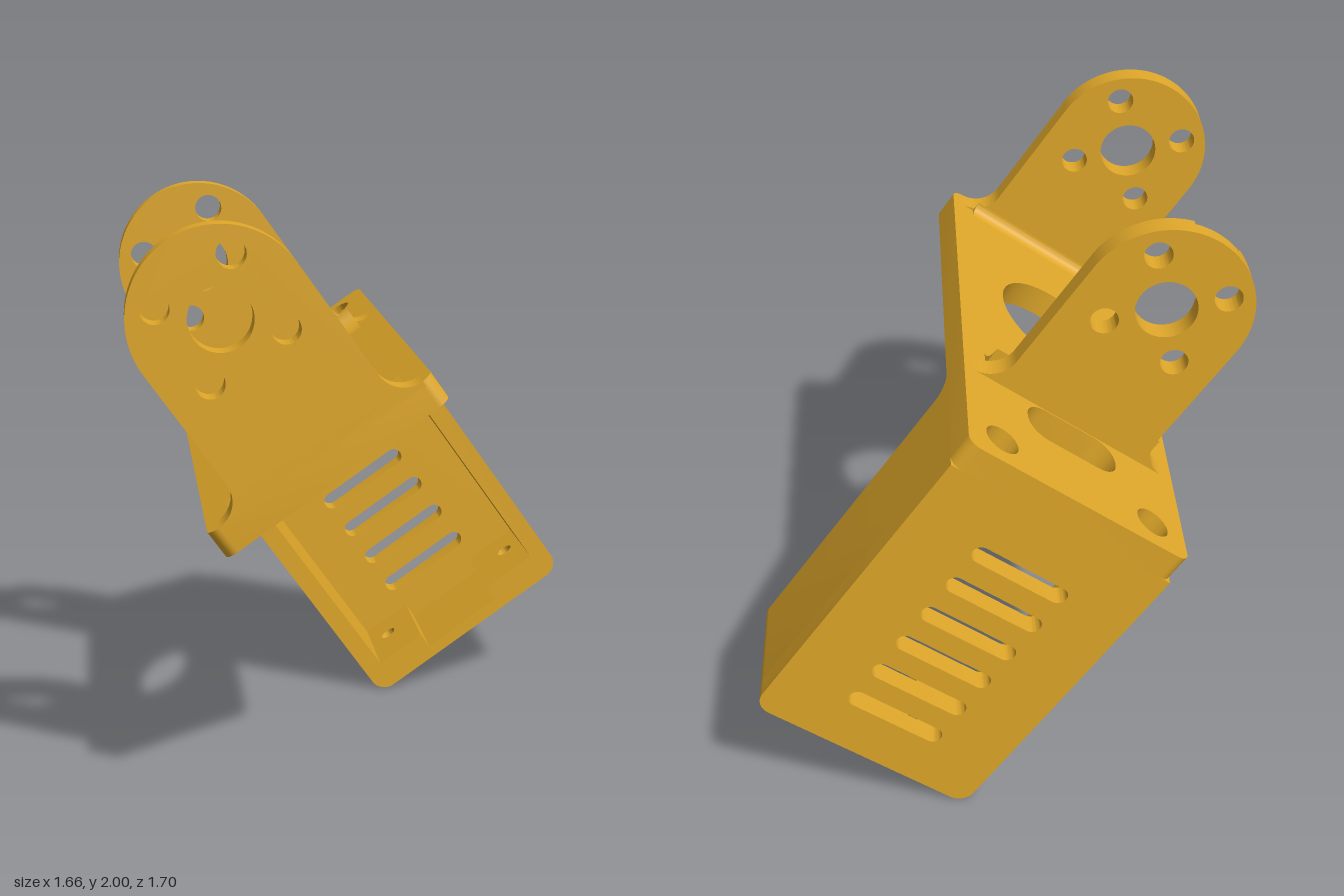
import * as THREE from 'three';
import { toCreasedNormals } from 'three/addons/utils/BufferGeometryUtils.js';

// Local frame: u across, v along the arms, z front; the whole bracket is tilted at the end.
const L = 0.106, R = 0.968, MID = 0.54;
const BACK = -0.85, FACE = -0.4, FRONT = 0.85;
const BOTTOM = -0.104, CAVITY_TOP = 0.92, SLAB = 1.08, TOP = 1.18;
const CAV_L = 0.175, CAV_R = 0.9;

const material = new THREE.MeshStandardMaterial({ color: 0xe0a82a });

function polygon(points) {
  return new THREE.Shape(points.map(([x, y]) => new THREE.Vector2(x, y)));
}

// Rectangle with its own radius at each corner: bottom left, bottom right, top right, top left
function rounded(x0, y0, x1, y1, [bl, br, tr, tl] = [0, 0, 0, 0]) {
  const points = [];
  const corners = [
    [x0 + bl, y0 + bl, bl], [x1 - br, y0 + br, br],
    [x1 - tr, y1 - tr, tr], [x0 + tl, y1 - tl, tl]];
  corners.forEach(([x, y, r], k) => {
    const steps = r > 0 ? 8 : 0;
    for (let i = 0; i <= steps; i++) {
      const a = Math.PI + (k + i / 8) * Math.PI / 2;
      points.push([x + r * Math.cos(a), y + r * Math.sin(a)]);
    }
  });
  return polygon(points);
}

function circle(x, y, r) {
  return new THREE.Path().absarc(x, y, r, 0, Math.PI * 2, false);
}

export function createModel() {
  const bracket = new THREE.Group();
  bracket.name = 'bracket';

  const add = (name, geometry) => {
    const mesh = new THREE.Mesh(toCreasedNormals(geometry, 0.5), material);
    mesh.name = name;
    bracket.add(mesh);
  };
  const extrude = (shape, depth) =>
    new THREE.ExtrudeGeometry(shape, { depth, bevelEnabled: false, curveSegments: 24 });
  // Shape in (u, v), extruded from z0 to z1
  const alongZ = (name, shape, z0, z1) => add(name, extrude(shape, z1 - z0).translate(0, 0, z0));
  // Shape in (u, -z), extruded from v0 to v1
  const alongV = (name, shape, v0, v1) =>
    add(name, extrude(shape, v1 - v0).rotateX(-Math.PI / 2).translate(0, v0, 0));
  // Concave corner strip running along u; sz and sv give the open directions
  const fillet = (name, u0, u1, z, v, r, sz, sv) => {
    const pts = [[-z, v]];
    for (let i = 0; i <= 10; i++) {
      const a = (i / 10) * Math.PI / 2;
      pts.push([-(z + sz * r * (1 - Math.sin(a))), v + sv * r * (1 - Math.cos(a))]);
    }
    add(name, extrude(polygon(pts), u1 - u0).rotateY(Math.PI / 2).translate(u0, 0, 0));
  };

  // Long mounting plate with round window, cable slot and two screw holes
  const plate = rounded(L, -FRONT, R, -BACK, [0.045, 0.045, 0.045, 0.045]);
  plate.holes.push(
    circle(MID, -0.22, 0.235),
    rounded(0.36, 0.405, 0.72, 0.58, [0.08, 0.08, 0.08, 0.08]),
    circle(0.238, 0.73, 0.062), circle(0.836, 0.73, 0.062));
  alongV('mountingPlate', plate, SLAB, TOP);

  // Thick block under the plate, notched at the front for the cable
  const block = polygon([
    [L, 0.4], [0.29, 0.4], [0.29, 0.6], [0.82, 0.6], [0.82, 0.4],
    [R, 0.4], [R, 0.85], [L, 0.85]]);
  block.holes.push(circle(0.238, 0.73, 0.062), circle(0.836, 0.73, 0.062));
  alongV('topBlock', block, CAVITY_TOP, SLAB);

  // Back wall with six vents
  const wall = rounded(L, BOTTOM, R, CAVITY_TOP, [0.06, 0.06, 0, 0]);
  for (let i = 0; i < 6; i++) {
    const v = 0.11 + i * 0.146, r = 0.032;
    wall.holes.push(rounded(0.35, v - r, 0.72, v + r, [r, r, r, r]));
  }
  alongZ('ventedBackWall', wall, BACK, -0.77);

  // Side walls of the housing
  alongZ('rightSideWall', rounded(L, BOTTOM, CAV_L, CAVITY_TOP, [0.06, 0, 0, 0]), -0.77, FACE);
  alongZ('leftSideWall', rounded(CAV_R, BOTTOM, R, CAVITY_TOP, [0, 0.06, 0, 0]), -0.77, FACE);

  // Bottom wall: counterbored outer layer, inner layer with a central recess
  const outer = rounded(CAV_L, 0.4, CAV_R, 0.77);
  outer.holes.push(circle(0.253, 0.62, 0.06), circle(0.83, 0.62, 0.06));
  alongV('bottomWall', outer, BOTTOM, -0.06);
  for (const [u0, u1, hole] of [[CAV_L, 0.37, 0.253], [0.69, CAV_R, 0.83]]) {
    const pad = rounded(u0, 0.4, u1, 0.77);
    pad.holes.push(circle(hole, 0.62, 0.03));
    alongV('screwPad', pad, -0.06, 0);
  }

  // Fillets where the plate meets the housing face
  fillet('plateFillet', L, 0.29, FACE, SLAB, 0.07, 1, -1);
  fillet('plateFillet', 0.82, R, FACE, SLAB, 0.07, 1, -1);

  // Round-ended arm; the grooved version has a channel from the bore to the tip
  const armShape = (grooved) => {
    const r = 0.29, f = 0.1, bore = 0.103, half = 0.09, cv = 1.708, s = new THREE.Shape();
    s.moveTo(MID - r - f, TOP - 0.02);
    s.lineTo(MID + r + f, TOP - 0.02);
    s.absarc(MID + r + f, TOP + f, f, 1.5 * Math.PI, Math.PI, true);
    if (grooved) {
      const a = Math.acos(half / r), b = Math.acos(half / bore);
      s.absarc(MID, cv, r, 0, a, false);
      s.absarc(MID, cv, bore, b, Math.PI - b, true);
      s.absarc(MID, cv, r, Math.PI - a, Math.PI, false);
    } else {
      s.absarc(MID, cv, r, 0, Math.PI, false);
      s.holes.push(circle(MID, cv, bore));
    }
    s.absarc(MID - r - f, TOP + f, f, 0, -Math.PI / 2, true);
    s.closePath();
    for (let i = 0; i < 4; i++) {
      const a = Math.PI / 4 + i * Math.PI / 2;
      s.holes.push(circle(MID + 0.203 * Math.cos(a), cv + 0.203 * Math.sin(a), 0.047));
    }
    return s;
  };
  alongZ('frontArm', armShape(false), 0.77, FRONT);
  alongZ('rearArm', armShape(false), FACE, -0.34);
  alongZ('rearArmGroovedFace', armShape(true), -0.34, -0.32);
  fillet('rearArmFillet', 0.2, 0.88, -0.32, TOP, 0.07, 1, 1);
  fillet('frontArmFillet', 0.2, 0.88, 0.77, TOP, 0.04, -1, 1);

  // Tilt the whole bracket
  bracket.rotation.z = THREE.MathUtils.degToRad(35);
  const model = new THREE.Group();
  model.name = 'tiltedBracket';
  model.add(bracket);
  return model;
}
